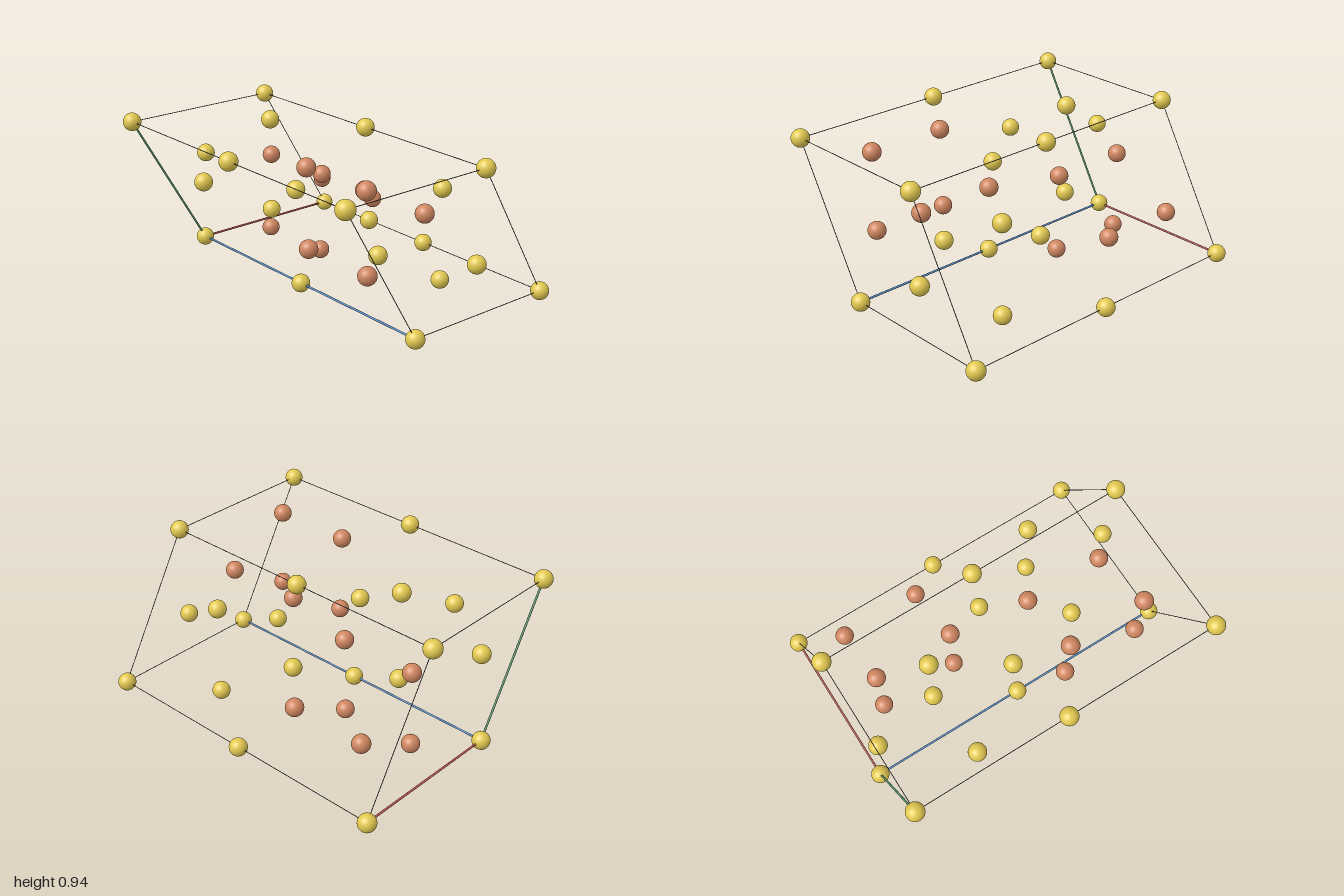
import * as THREE from 'three';

const R = 0.053;                       // ball radius
const SIDE = 0.96, HEIGHT = 0.832, HALF = 0.947;

const mat = (name, color) => {
  const m = new THREE.MeshStandardMaterial({ color });
  m.name = name;
  return m;
};

export function createModel() {
  const model = new THREE.Group();
  model.name = 'crystalCell';

  const yellow = mat('yellow', 0xe2c951);
  const copper = mat('copper', 0xcf8660);
  const grey = mat('edgeGrey', 0x5c5c5c);
  const red = mat('axisRed', 0xb85450);
  const green = mat('axisGreen', 0x5c9a6c);
  const blue = mat('axisBlue', 0x5a90c8);

  // Point in the slanted cell: u along x, v up the 120 degree side, z direct
  const cell = (u, v, z) =>
    new THREE.Vector3(-SIDE / 4 + SIDE * u - (SIDE / 2) * v, R + HEIGHT * v, z);

  // Atoms
  const ballGeometry = new THREE.SphereGeometry(R, 32, 20);
  const addBall = (name, material, position) => {
    const ball = new THREE.Mesh(ballGeometry, material);
    ball.name = name;
    ball.position.copy(position);
    model.add(ball);
  };

  // Yellow atoms on the four long edges
  for (const u of [0, 1])
    for (const v of [0, 1])
      for (const z of [-HALF, 0, HALF]) addBall('cornerAtom', yellow, cell(u, v, z));

  // Yellow atoms on the faces and inside
  const t = 1 / 3, s = 2 / 3, q = HALF / 2;
  [
    [s, 0, q], [s, 1, -q], [0, s, -q], [1, s, q], [t, t, q], [t, t, -q],
    [s, t, 0.909], [s, t, 0.038], [t, s, -0.038], [t, s, -0.909],
  ].forEach(([u, v, z]) => addBall('yellowAtom', yellow, cell(u, v, z)));

  // Copper atoms: a triangle in two front layers, another in two back layers
  const frontTriangle = [[-0.383, 0.84], [0.03, 0.617], [-0.371, 0.369]];
  const backTriangle = [[0.097, 0.099], [0.109, 0.571], [0.51, 0.324]];
  for (const [triangle, side] of [[frontTriangle, 1], [backTriangle, -1]])
    for (const [x, y] of triangle)
      for (const z of [0.716, 0.234])
        addBall('copperAtom', copper, new THREE.Vector3(x, y, side * z));

  // Straight rod between two points
  const up = new THREE.Vector3(0, 1, 0);
  const addRod = (name, material, a, b, radius) => {
    const d = b.clone().sub(a);
    const rod = new THREE.Mesh(new THREE.CylinderGeometry(radius, radius, d.length(), 12), material);
    rod.name = name;
    rod.position.copy(a).add(b).multiplyScalar(0.5);
    rod.quaternion.setFromUnitVectors(up, d.normalize());
    model.add(rod);
  };

  // Cell edges: the three that meet at the back origin are thick coloured axes
  const axes = [['axisA', red], ['axisB', green], ['axisC', blue]];
  const at = (c) => cell(c[0], c[1], c[2] ? HALF : -HALF);
  for (let k = 0; k < 3; k++)
    for (const m of [0, 1])
      for (const n of [0, 1]) {
        const a = [0, 0, 0];
        a[(k + 1) % 3] = m;
        a[(k + 2) % 3] = n;
        const b = a.slice();
        b[k] = 1;
        if (m + n === 0) addRod(axes[k][0], axes[k][1], at(a), at(b), 0.0062);
        else addRod('cellEdge', grey, at(a), at(b), 0.0022);
      }

  return model;
}
